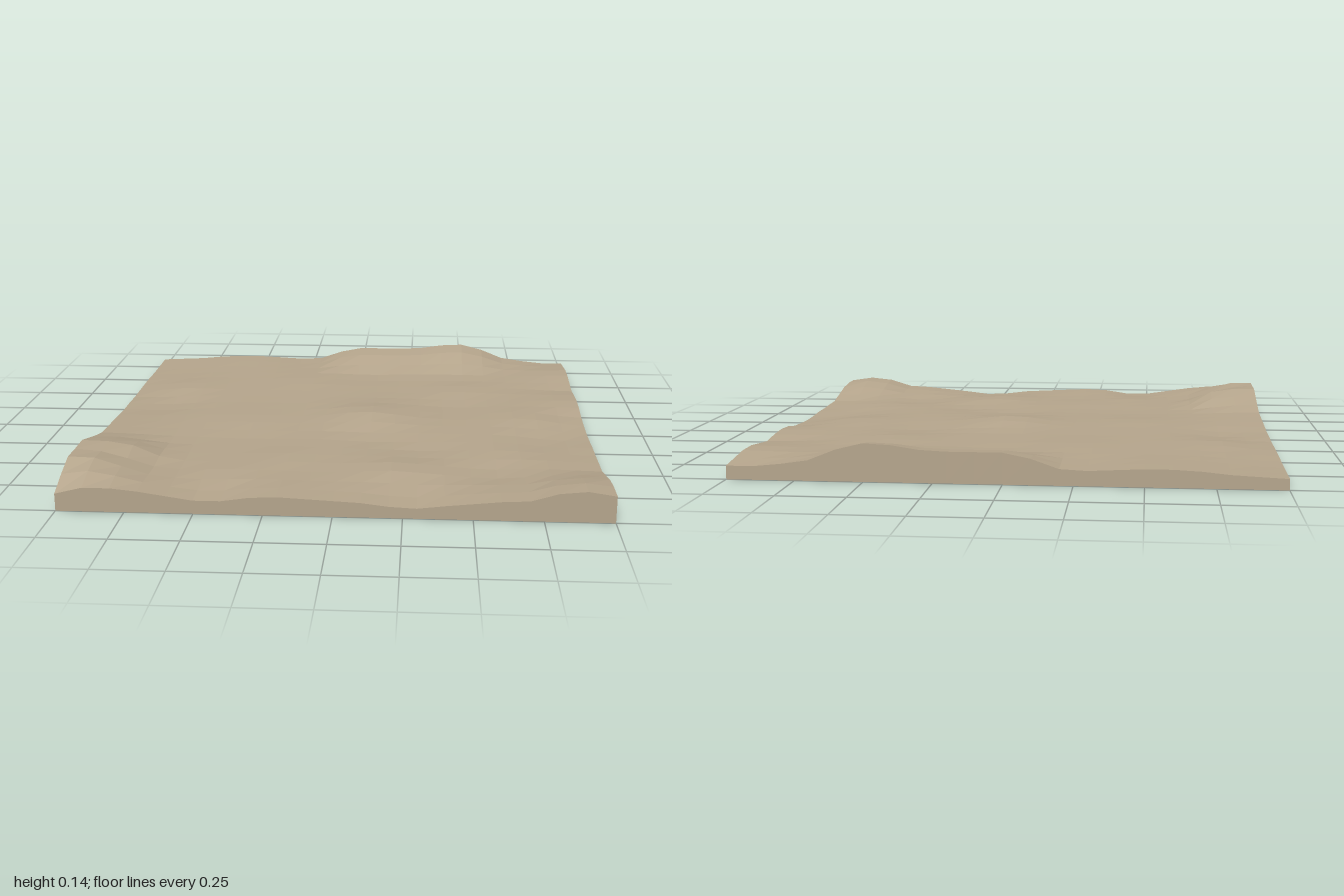
import * as THREE from 'three';

const BASE = 0.06;   // average ground level
const REACH = 0.36;  // how far an edge profile carries inward

// Heights along each edge in steps of 0.1, from -1 to 1
const back = [0.04, 0.045, 0.05, 0.06, 0.065, 0.065, 0.06, 0.055, 0.06, 0.095, 0.115,
  0.115, 0.115, 0.12, 0.135, 0.14, 0.115, 0.075, 0.06, 0.05, 0.05];
const front = [0.065, 0.09, 0.09, 0.08, 0.065, 0.05, 0.05, 0.065, 0.07, 0.065, 0.06,
  0.055, 0.043, 0.038, 0.05, 0.06, 0.07, 0.075, 0.105, 0.115, 0.1];
const rightEdge = [0.04, 0.04, 0.04, 0.042, 0.045, 0.045, 0.045, 0.045, 0.05, 0.05, 0.055,
  0.06, 0.065, 0.07, 0.09, 0.112, 0.135, 0.135, 0.138, 0.105, 0.065];
const leftEdge = [0.05, 0.06, 0.07, 0.07, 0.06, 0.05, 0.06, 0.065, 0.06, 0.045, 0.04,
  0.037, 0.04, 0.045, 0.045, 0.048, 0.05, 0.07, 0.09, 0.1, 0.1];

// Inner mounds and hollows: x, z, height, radius
const mounds = [
  [0.08, -0.02, 0.028, 0.17], [0.1, 0.28, -0.01, 0.14], [-0.8, 0.57, 0.03, 0.11],
  [-0.8, -0.44, 0.01, 0.13], [-0.8, -0.18, -0.012, 0.13], [0.2, 0.66, 0.014, 0.14],
  [0.32, 0.42, -0.01, 0.13], [0.58, 0.65, -0.014, 0.13], [-0.4, 0.74, 0.007, 0.12],
  [-0.22, 0.55, 0.007, 0.13], [0.48, -0.45, 0.008, 0.13], [0.45, -0.2, -0.008, 0.13],
  [0.78, -0.03, 0.014, 0.14], [0.8, 0.25, -0.01, 0.14], [-0.45, 0.05, 0.006, 0.16],
  [-0.4, 0.3, -0.006, 0.16], [-0.2, -0.55, 0.006, 0.16], [0.05, -0.68, -0.006, 0.13],
];

const fade = d => (d >= REACH ? 0 : 0.5 + 0.5 * Math.cos(Math.PI * d / REACH));
const rise = (profile, t) => profile[Math.round((t + 1) * 10)] - BASE;

// Edge profiles blended inward, corners counted once, plus the mounds
function groundHeight(x, z) {
  const fb = fade(1 + z), ff = fade(1 - z), fr = fade(1 + x), fl = fade(1 - x);
  let y = BASE + fb * rise(back, x) + ff * rise(front, x)
    + fr * rise(rightEdge, z) + fl * rise(leftEdge, z);
  for (const [fz, profile] of [[fb, back], [ff, front]]) {
    y -= fz * (fr * rise(profile, -1) + fl * rise(profile, 1));
  }
  for (const [mx, mz, h, r] of mounds) {
    y += h * Math.exp(-((x - mx) ** 2 + (z - mz) ** 2) / (r * r));
  }
  return y;
}

export function createModel() {
  const group = new THREE.Group();
  group.name = 'terrainTile';

  // Slab whose upper side follows the ground heights
  const geometry = new THREE.BoxGeometry(2, 1, 2, 20, 1, 20);
  const pos = geometry.attributes.position;
  for (let i = 0; i < pos.count; i++) {
    pos.setY(i, pos.getY(i) > 0 ? groundHeight(pos.getX(i), pos.getZ(i)) : 0);
  }
  geometry.computeVertexNormals();

  const ground = new THREE.Mesh(geometry,
    new THREE.MeshStandardMaterial({ color: 0xb5a58c, flatShading: true }));
  ground.name = 'ground';
  group.add(ground);
  return group;
}
